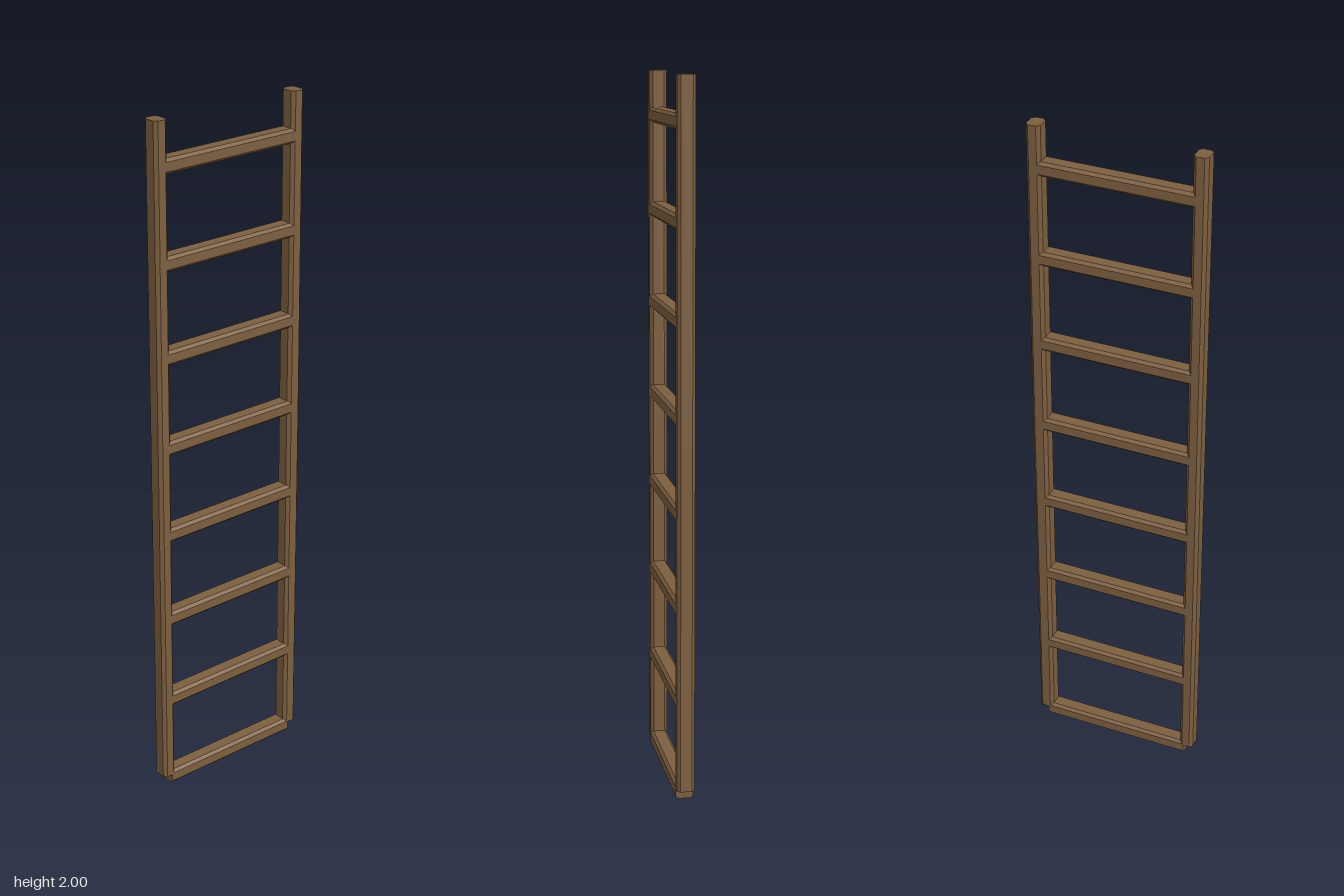
import * as THREE from 'three';

const wood = new THREE.MeshStandardMaterial({ color: 0x7d5f40, flatShading: true });

// Bar along z with a chamfered rectangular section of w by h, centred on the origin
function chamferedBar(w, h, length, cut) {
  const a = w / 2, b = h / 2;
  const section = new THREE.Shape([
    [a - cut, -b], [a, -b + cut], [a, b - cut], [a - cut, b],
    [-a + cut, b], [-a, b - cut], [-a, -b + cut], [-a + cut, -b],
  ].map(([x, y]) => new THREE.Vector2(x, y)));
  const geo = new THREE.ExtrudeGeometry(section, { depth: length, steps: 2, bevelEnabled: false });
  return geo.translate(0, 0, -length / 2);
}

function addPart(group, name, geo, x, y) {
  const mesh = new THREE.Mesh(geo, wood);
  mesh.name = name;
  mesh.position.set(x, y, 0);
  group.add(mesh);
}

export function createModel() {
  const ladder = new THREE.Group();
  ladder.name = 'ladder';

  // Two upright rails, starting just above the foot of the lowest rung
  const bottom = 0.03, top = 2;
  for (const [name, x, lean] of [['rightRail', -0.235, 0], ['leftRail', 0.229, 0.003]]) {
    const geo = chamferedBar(0.041, 0.05, top - bottom, 0.009).rotateX(-Math.PI / 2);
    // Hand-cut timber: the lower part stands out a little
    const p = geo.attributes.position;
    for (let i = 0; i < p.count; i++) {
      if (p.getY(i) < 0.1 && p.getX(i) > 0) p.setX(i, p.getX(i) + lean);
    }
    geo.computeVertexNormals();
    addPart(ladder, name, geo, x, (top + bottom) / 2);
  }

  // Eight evenly spaced rungs let into the rails
  for (let i = 0; i < 8; i++) {
    const geo = chamferedBar(0.05, 0.042, 0.45, 0.008).rotateY(Math.PI / 2);
    // Very slight rise to one side
    if (i > 0) geo.rotateZ(0.005);
    addPart(ladder, 'rung' + (i + 1), geo, -0.003, 0.021 + i * 0.265);
  }
  return ladder;
}
